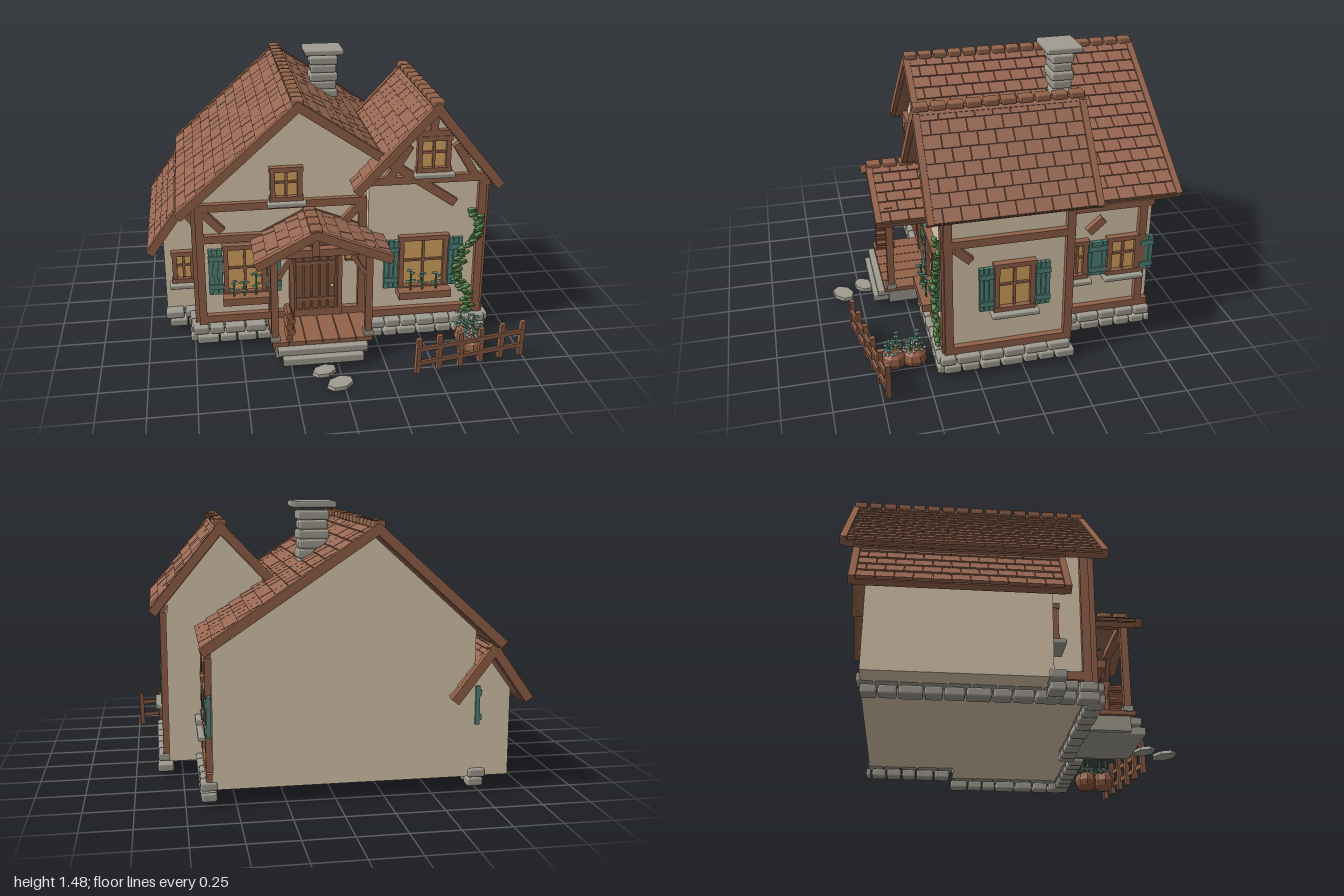
import * as THREE from 'three';
import { mergeGeometries } from 'three/addons/utils/BufferGeometryUtils.js';
import { RoundedBoxGeometry } from 'three/addons/geometries/RoundedBoxGeometry.js';

const mat = (name, color) => Object.assign(new THREE.MeshStandardMaterial({ color }), { name });
const M = {
  plaster: mat('plaster', 0xdecbb0), tile: mat('roof tile', 0x976752), wood: mat('timber', 0x93624a),
  door: mat('door wood', 0x85573f), glass: mat('lit glass', 0xdda863), teal: mat('shutter teal', 0x52877a),
  stone: mat('stone', 0xa09c91), leaf: mat('leaf green', 0x56874a), clay: mat('clay', 0x8f5a42),
  flower: mat('pale flower', 0xa3b0ac),
};
let seed = 7;
const rnd = () => (seed = (seed * 16807) % 2147483647) / 2147483647;

function add(parent, name, geo, m, x = 0, y = 0, z = 0) {
  const mesh = new THREE.Mesh(geo, m);
  mesh.name = name;
  mesh.position.set(x, y, z);
  parent.add(mesh);
  return mesh;
}
function group(parent, name, x = 0, y = 0, z = 0, ry = 0) {
  const g = new THREE.Group();
  g.name = name;
  g.position.set(x, y, z);
  g.rotation.y = ry;
  parent.add(g);
  return g;
}
const box = (p, name, m, x, y, z, w, h, d) => add(p, name, new THREE.BoxGeometry(w, h, d), m, x, y, z);
// Straight timber between two points of a wall plane
function beam(p, name, x1, y1, x2, y2, z = 0.01, t = 0.042, d = 0.045) {
  const b = box(p, name, M.wood, (x1 + x2) / 2, (y1 + y2) / 2, z, Math.hypot(x2 - x1, y2 - y1), t, d);
  b.rotation.z = Math.atan2(y2 - y1, x2 - x1);
  return b;
}
// Outline in x/y extruded from z0 to z1
function prism(p, name, m, pts, z0, z1) {
  const shape = new THREE.Shape(pts.map(([x, y]) => new THREE.Vector2(x, y)));
  return add(p, name, new THREE.ExtrudeGeometry(shape, { depth: z1 - z0, bevelEnabled: false }), m, 0, 0, z0);
}
const faceted = (geo) => { const g = geo.index ? geo.toNonIndexed() : geo; g.computeVertexNormals(); return g; };

// One roof slope: deck, staggered tiles, end boards and eave board
function slope(parent, name, rx, ry, ex, ey, z0, z1) {
  const s = Math.sign(ex - rx), L = Math.hypot(ex - rx, ey - ry), B = 0.034, T = z0 + B, W = z1 - z0 - 2 * B;
  const g = group(parent, name, rx, ry, 0);
  g.rotation.z = Math.atan2(s * (ey - ry), s * (ex - rx));
  box(g, 'roofDeck', M.tile, s * L / 2, -0.032, (z0 + z1) / 2, L, 0.024, W + 0.02);
  const rows = Math.round(L / 0.072), step = L / rows, tiles = [], n = Math.max(2, Math.round(W / 0.09)), tw = W / n;
  for (let r = 0; r < rows; r++) {
    for (let i = 0; i <= n; i++) {
      const off = r % 2 ? 0.5 : 0;
      const a = Math.max(0, (i - off) * tw), b = Math.min(W, (i + 1 - off) * tw);
      if (b - a < 0.01) continue;
      const t = new THREE.BoxGeometry(step * 1.08 + rnd() * 0.003, 0.016, b - a - 0.003);
      t.rotateZ(s * 0.11);
      t.translate(s * (r + 0.47) * step, -0.008 + rnd() * 0.002, T + (a + b) / 2);
      tiles.push(t);
    }
  }
  add(g, 'roofTiles', mergeGeometries(tiles), M.tile);
  for (const z of [z0 + B / 2, z1 - B / 2]) box(g, 'bargeBoard', M.wood, s * L / 2, -0.016, z, L + 0.012, 0.046, B);
  box(g, 'eaveBoard', M.wood, s * (L - 0.012), -0.03, (z0 + z1) / 2, 0.03, 0.03, W + 0.02);
}
function gableRoof(parent, name, rx, ry, lx, ly, ex, ey, z0, z1, caps = true) {
  const g = group(parent, name);
  slope(g, 'leftSlope', rx, ry, lx, ly, z0, z1);
  slope(g, 'rightSlope', rx, ry, ex, ey, z0, z1);
  if (!caps) return;
  const n = Math.round((z1 - z0) / 0.085), d = (z1 - z0) / n;
  for (let i = 0; i < n; i++)
    add(g, 'ridgeCap', new RoundedBoxGeometry(0.062, 0.035, d - 0.014, 1, 0.008), M.wood, rx, ry, z0 + (i + 0.5) * d);
}
// Two courses of rounded foundation stones
function stones(wall, a, b) {
  const g = group(wall, 'foundationStones');
  for (const y of [0.05, 0.103]) {
    let u = a - (y < 0.1 ? 0 : 0.02);
    while (u < b) {
      const w = Math.min(0.08 + rnd() * 0.05, b + 0.02 - u);
      if (w > 0.03) add(g, 'stone', new RoundedBoxGeometry(w - 0.006, 0.047, 0.075 + rnd() * 0.015, 1, 0.012), M.stone, u + w / 2, y, 0.02);
      u += w;
    }
  }
}
function shutter(p, u, y, w, h) {
  const g = group(p, 'shutter', u, y, 0.018);
  for (const k of [-1, 0, 1]) box(g, 'shutterBoard', M.teal, k * w / 3, 0, 0, w / 3 - 0.003, h, 0.022);
  for (const k of [-1, 1]) box(g, 'shutterBatten', M.teal, 0, k * h * 0.32, 0.014, w, 0.028, 0.012);
}
// Window: opts sill 'stone' | 'box', shutter width sw
function windowUnit(p, u, y, w, h, { sill = 'stone', sw = 0, sides = [-1, 1] } = {}) {
  const g = group(p, 'window', u, y, 0);
  box(g, 'glass', M.glass, 0, 0, 0.006, w - 0.02, h - 0.02, 0.008);
  for (const k of [-1, 1]) {
    box(g, 'windowFrame', M.wood, k * (w / 2 - 0.013), 0, 0.015, 0.026, h, 0.035);
    box(g, 'windowFrame', M.wood, 0, k * (h / 2 - 0.013), 0.017, w + 0.01, 0.026, 0.04);
  }
  box(g, 'mullion', M.wood, 0, 0, 0.012, 0.014, h - 0.03, 0.02);
  box(g, 'glazingBar', M.wood, 0, h * 0.04, 0.012, w - 0.03, 0.012, 0.018);
  if (sw) for (const k of sides) shutter(g, k * (w / 2 + sw / 2 + 0.004), -0.005, sw, h * 0.88);
  if (sill === 'stone') add(g, 'sill', new RoundedBoxGeometry(w + 0.04, 0.026, 0.075, 1, 0.007), M.stone, 0, -h / 2 - 0.012, 0.03);
  else {
    box(g, 'flowerBox', M.wood, 0, -h / 2 - 0.005, 0.055, w + 0.02, 0.042, 0.09);
    for (const k of [-0.28, -0.04, 0.24]) plant(g, k * w, -h / 2 + 0.01, 0.065, 0.085 + rnd() * 0.05);
  }
}
function plant(p, x, y, z, h) {
  const g = group(p, 'flowerPlant', x, y, z, rnd() * 3);
  box(g, 'stem', M.leaf, 0, h / 2, 0, 0.008, h, 0.008);
  for (let i = 0; i < 4; i++) {
    const l = add(g, 'leaf', faceted(new THREE.OctahedronGeometry(0.018)), M.teal, Math.cos(i * 1.57) * 0.017, h * (i % 2 ? 0.5 : 0.95), Math.sin(i * 1.57) * 0.017);
    l.scale.y = 0.45;
  }
  add(g, 'bloom', faceted(new THREE.OctahedronGeometry(0.01)), M.flower, 0, h + 0.004, 0);
}

export function createModel() {
  const root = new THREE.Group();
  root.name = 'cottage';
  const H = Math.PI / 2, F = 0.325, WF = 0.387, Y0 = 0.085;

  // Plaster bodies
  prism(root, 'mainWalls', M.plaster, [[-0.71, Y0], [0.615, Y0], [0.615, 0.8], [-0.17, 1.34], [-0.71, 0.86]], -0.765, F);
  prism(root, 'wingWalls', M.plaster, [[0.2, Y0], [0.82, Y0], [0.82, 0.99], [0.535, 1.31], [0.2, 0.95]], -0.27, WF);
  prism(root, 'sideRoomWalls', M.plaster, [[-0.9, Y0], [-0.7, Y0], [-0.7, 0.6], [-0.79, 0.69], [-0.9, 0.54]], -0.76, 0.12);

  // Roofs
  gableRoof(root, 'mainRoof', -0.175, 1.385, -0.815, 0.81, 0.67, 0.815, -0.905, 0.42);
  gableRoof(root, 'wingRoof', 0.535, 1.37, 0.11, 0.92, 0.9, 0.925, -0.385, 0.49);
  gableRoof(root, 'sideRoomRoof', -0.79, 0.785, -0.985, 0.51, -0.58, 0.51, -0.835, 0.2, false);
  gableRoof(root, 'porchRoof', -0.115, 0.78, -0.43, 0.62, 0.28, 0.62, 0.3, 0.665);

  // Chimney
  for (let i = 0; i < 8; i++)
    add(root, 'chimneyCourse', new RoundedBoxGeometry(i % 2 ? 0.165 : 0.15, 0.048, i % 2 ? 0.125 : 0.11, 1, 0.012), M.stone, 0.065, 1.065 + i * 0.049, -0.4);
  add(root, 'chimneyCap', new RoundedBoxGeometry(0.225, 0.034, 0.2, 1, 0.01), M.stone, 0.065, 1.464, -0.4);

  // Main front
  const front = group(root, 'mainFront', 0, 0, F);
  for (const [a, b, c, d] of [[-0.7, 0.13, -0.7, 0.83], [0.175, 0.13, 0.175, 0.83], [-0.32, 0.14, -0.32, 0.64],
    [-0.72, 0.815, 0.19, 0.815], [-0.7, 0.16, 0.19, 0.16], [-0.7, 0.635, -0.3, 0.635], [0.06, 0.635, 0.18, 0.635],
    [-0.68, 0.79, -0.58, 0.68], [0.16, 0.79, 0.05, 0.67]]) beam(front, 'timber', a, b, c, d);
  windowUnit(front, -0.465, 0.445, 0.23, 0.3, { sill: 'box', sw: 0.078 });
  windowUnit(front, -0.235, 0.93, 0.17, 0.19);
  stones(front, -0.74, 0.2);

  // Arched door
  const arch = (w, top) => {
    const s = new THREE.Shape();
    s.moveTo(w, 0.14); s.lineTo(w, 0.48);
    s.absellipse(0, 0.48, w, top - 0.48, 0, Math.PI, false);
    s.lineTo(-w, 0.14);
    return s;
  };
  const door = group(front, 'door', -0.08, 0, 0), frame = arch(0.145, 0.605);
  frame.holes.push(arch(0.12, 0.58));
  add(door, 'doorFrame', new THREE.ExtrudeGeometry(frame, { depth: 0.04, bevelEnabled: false }), M.wood);
  add(door, 'doorLeaf', new THREE.ExtrudeGeometry(arch(0.122, 0.582), { depth: 0.012, bevelEnabled: false }), M.door);
  for (let i = -2; i <= 2; i++) box(door, 'doorPlank', M.door, i * 0.045, 0.335, 0.014, 0.038, 0.39 + (2 - Math.abs(i)) * 0.03, 0.014);
  for (const y of [0.24, 0.46]) box(door, 'doorStrap', M.wood, 0, y, 0.022, 0.22, 0.018, 0.01);
  add(door, 'doorKnob', new THREE.SphereGeometry(0.011, 8, 6), M.glass, 0.09, 0.32, 0.032);

  // Wall lantern
  const lamp = group(front, 'lantern', 0.097, 0.515, 0.05);
  box(lamp, 'lanternBracket', M.door, 0, 0.045, -0.02, 0.012, 0.01, 0.07);
  box(lamp, 'lanternGlass', M.glass, 0, 0, 0, 0.03, 0.045, 0.03);
  for (const k of [-1, 1]) box(lamp, 'lanternPlate', M.door, 0, k * 0.026, 0, 0.045, 0.01, 0.045);

  // Wing front
  const wing = group(root, 'wingFront', 0, 0, WF);
  for (const [a, b, c, d] of [[0.815, 0.13, 0.815, 0.94], [0.19, 0.16, 0.84, 0.16], [0.18, 0.94, 0.84, 0.94], [0.535, 1.18, 0.535, 1.31],
    [0.66, 1.13, 0.77, 0.95], [0.41, 1.13, 0.3, 0.95], [0.44, 1.19, 0.63, 1.19]]) beam(wing, 'timber', a, b, c, d);
  windowUnit(wing, 0.505, 0.455, 0.27, 0.32, { sill: 'box', sw: 0.08 });
  windowUnit(wing, 0.54, 1.08, 0.18, 0.2);
  stones(wing, 0.2, 0.85);

  // Wing side, u runs towards the back
  const wingSide = group(root, 'wingSide', 0.82, 0, 0, H);
  for (const [a, b, c, d] of [[-0.385, 0.13, -0.385, 0.92], [0.24, 0.13, 0.24, 0.92], [-0.41, 0.145, 0.26, 0.145], [-0.41, 0.765, 0.26, 0.765],
    [-0.42, 0.915, 0.27, 0.915], [-0.35, 0.74, -0.27, 0.665]]) beam(wingSide, 'timber', a, b, c, d);
  windowUnit(wingSide, -0.045, 0.49, 0.21, 0.28, { sw: 0.075 });
  stones(wingSide, -0.42, 0.26);

  // Main right side
  const side = group(root, 'mainSide', 0.615, 0, 0, H);
  for (const [a, b, c, d] of [[0.3, 0.13, 0.3, 0.8], [0.71, 0.13, 0.71, 0.8], [0.28, 0.145, 0.765, 0.145], [0.28, 0.765, 0.765, 0.765],
    [0.41, 0.62, 0.49, 0.69]]) beam(side, 'timber', a, b, c, d);
  windowUnit(side, 0.355, 0.46, 0.11, 0.23, { sw: 0.055, sides: [1] });
  windowUnit(side, 0.61, 0.46, 0.18, 0.23, { sw: 0.075 });
  stones(side, 0.29, 0.765);

  // Side room front and the hidden side wall behind it
  const room = group(root, 'sideRoomFront', 0, 0, 0.12);
  windowUnit(room, -0.795, 0.385, 0.125, 0.19);
  stones(room, -0.89, -0.7);
  const left = group(root, 'mainLeftSide', -0.71, 0, 0, -H);
  shutter(left, -0.735, 0.46, 0.075, 0.2);
  stones(left, -0.765, 0.34);
  beam(left, 'timber', 0.305, 0.13, 0.305, 0.83);
  beam(left, 'timber', 0.12, 0.16, 0.32, 0.16);

  // Porch
  const porch = group(root, 'porch', -0.08, 0, 0);
  for (let i = 0; i < 6; i++) box(porch, 'floorPlank', M.wood, -0.225 + i * 0.09, 0.128, 0.475, 0.086, 0.024, 0.3);
  box(porch, 'porchBase', M.stone, 0, 0.075, 0.46, 0.5, 0.08, 0.28);
  add(porch, 'upperStep', new RoundedBoxGeometry(0.48, 0.04, 0.27, 1, 0.008), M.stone, 0, 0.095, 0.525);
  add(porch, 'lowerStep', new RoundedBoxGeometry(0.43, 0.045, 0.3, 1, 0.008), M.stone, 0, 0.05, 0.535);
  for (const k of [-1, 1]) {
    box(porch, 'porchPost', M.wood, k * 0.25, 0.385, 0.585, 0.038, 0.49, 0.038);
    box(porch, 'postFoot', M.stone, k * 0.25, 0.15, 0.585, 0.052, 0.03, 0.052);
    box(porch, 'porchSideBeam', M.wood, k * 0.25, 0.63, 0.47, 0.036, 0.036, 0.29);
    beam(porch, 'porchBrace', k * 0.23, 0.5, k * 0.16, 0.61, 0.585, 0.025, 0.025);
  }
  beam(porch, 'porchCrossBeam', -0.28, 0.64, 0.28, 0.64, 0.585);
  beam(porch, 'porchKingPost', -0.035, 0.63, -0.035, 0.75, 0.6, 0.035);

  // Stacked firewood
  for (let i = 0; i < 5; i++) {
    const log = add(root, 'firewood', faceted(new THREE.CylinderGeometry(0.02, 0.02, 0.11, 7)), M.clay, -0.256 + (i % 2) * 0.014, 0.158 + i * 0.033, 0.56);
    log.rotation.x = H;
  }

  // Ivy on the wing corner
  const ivy = group(root, 'ivy');
  const vine = new THREE.CatmullRomCurve3([[0.77, 0.15], [0.75, 0.27], [0.695, 0.35], [0.7, 0.44], [0.74, 0.55], [0.79, 0.65], [0.78, 0.76]]
    .map(([x, y]) => new THREE.Vector3(x, y, WF + 0.035)));
  add(ivy, 'vine', new THREE.TubeGeometry(vine, 24, 0.006, 5), M.leaf);
  for (let i = 0; i < 46; i++) {
    const q = vine.getPoint(i / 45);
    const l = add(ivy, 'ivyLeaf', faceted(new THREE.IcosahedronGeometry(0.024)), M.leaf, q.x + (rnd() - 0.5) * 0.05, q.y, q.z + rnd() * 0.02);
    l.scale.set(1.2, 0.55, 0.7);
    l.rotation.z = rnd() - 0.5;
  }

  // Round flower pots
  for (const z of [0.55, 0.66]) {
    const pot = group(root, 'flowerPot', 0.73, 0.065, z);
    add(pot, 'potBody', faceted(new THREE.SphereGeometry(0.07, 9, 6)), M.clay).scale.y = 0.86;
    for (let i = 0; i < 26; i++) {
      const a = i * 2.4, r = 0.0115 * Math.sqrt(i);
      add(pot, 'blossom', faceted(new THREE.OctahedronGeometry(0.012)), i % 5 ? M.flower : M.leaf, r * Math.cos(a), 0.062 - r * r * 6 + rnd() * 0.02, r * Math.sin(a));
    }
    for (const x of [-0.03, 0.03]) plant(pot, x, 0.045, x * 0.8, 0.085);
  }

  // Garden fence
  const fence = group(root, 'fence', 0.685, 0, 0.775, Math.atan2(0.11, 0.61));
  for (let i = 0; i < 6; i++) box(fence, 'fencePost', M.wood, -0.3 + i * 0.12, 0.12 + rnd() * 0.01, 0, 0.026, 0.2, 0.026).rotation.z = (rnd() - 0.5) * 0.08;
  for (const y of [0.085, 0.165]) box(fence, 'fenceRail', M.wood, 0, y, 0.008, 0.62, 0.024, 0.014);

  // Stepping stones
  for (const [x, z, r] of [[-0.085, 0.72, 0.072], [-0.02, 0.845, 0.08]]) {
    const s = add(root, 'steppingStone', faceted(new THREE.CylinderGeometry(r * 0.93, r, 0.018, 7)), M.stone, x, 0.009, z);
    s.scale.z = 0.7;
    s.rotation.y = r * 6;
  }
  return root;
}
